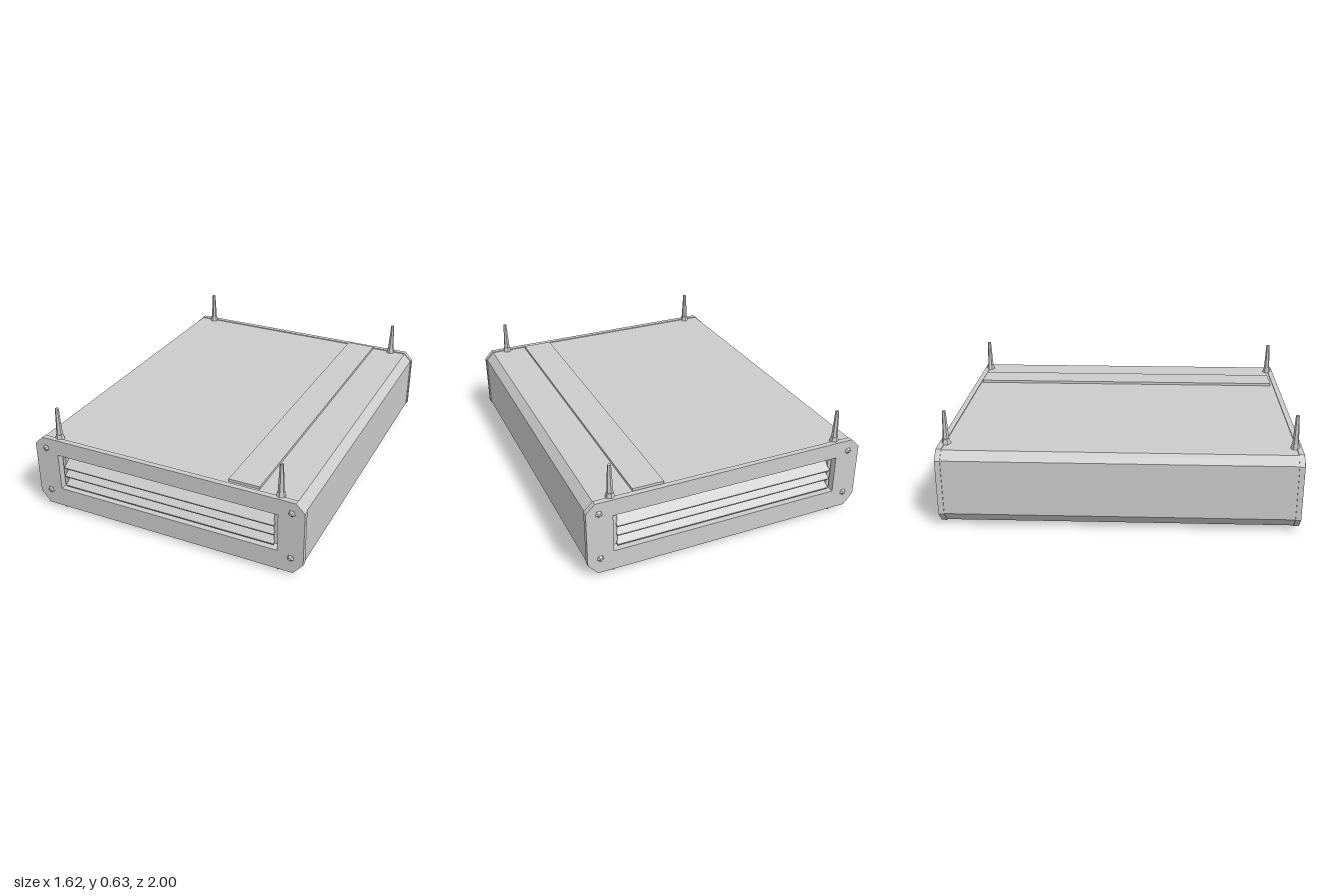
import * as THREE from 'three';

const material = new THREE.MeshStandardMaterial({ color: 0xcccccc, flatShading: true });

function add(parent, name, geometry, x = 0, y = 0, z = 0) {
  const mesh = new THREE.Mesh(geometry, material);
  mesh.name = name;
  mesh.position.set(x, y, z);
  parent.add(mesh);
  return mesh;
}

// Chamfered box outline seen from the front
function casingShape(inset = 0) {
  const w = 0.81 - inset, top = 0.45 - inset, bottom = 0.02 + inset;
  return new THREE.Shape([
    [-0.755, bottom], [0.755, bottom], [w, 0.085], [w, 0.4],
    [0.76, top], [-0.76, top], [-w, 0.4], [-w, 0.085],
  ].map(([x, y]) => new THREE.Vector2(x, y)));
}

function extrude(shape, depth) {
  return new THREE.ExtrudeGeometry(shape, { depth, bevelEnabled: false });
}

// Rectangular vent opening
function openingPath() {
  return new THREE.Path([
    [-0.665, 0.135], [-0.665, 0.355], [0.665, 0.355], [0.665, 0.135],
  ].map(([x, y]) => new THREE.Vector2(x, y)));
}

// End frame with slats and corner screws, facing +z
function createVentEnd() {
  const end = new THREE.Group();
  end.name = 'ventEnd';

  const frame = casingShape();
  frame.holes.push(openingPath());
  add(end, 'endFrame', extrude(frame, 0.03), 0, 0, 0.957);

  // Angled louvre slats with a sharp leading edge
  const slat = new THREE.Shape([
    [-0.035, -0.026], [-0.03, -0.036], [0.03, 0.022], [0.024, 0.034],
  ].map(([x, y]) => new THREE.Vector2(x, y)));
  for (const y of [0.185, 0.245, 0.3]) {
    const geometry = extrude(slat, 1.28);
    geometry.rotateY(Math.PI / 2);
    add(end, 'slat', geometry, -0.64, y, 0.94);
  }

  // Slat holders at both ends of the opening
  for (const side of [-1, 1]) {
    add(end, 'slatHolder', new THREE.BoxGeometry(0.02, 0.18, 0.05), side * 0.645, 0.243, 0.935);
    for (const y of [0.11, 0.385]) {
      const screw = new THREE.CylinderGeometry(0.008, 0.021, 0.014, 5);
      screw.rotateX(Math.PI / 2);
      add(end, 'screw', screw, side * 0.74, y, 0.993);
    }
  }
  return end;
}

export function createModel() {
  const model = new THREE.Group();
  model.name = 'ductUnit';

  // Main casing: hollow at the ends, closed in the middle
  const shell = casingShape(0.005);
  shell.holes.push(openingPath());
  add(model, 'casing', extrude(shell, 1.92), 0, 0, -0.96);
  add(model, 'innerPanel', new THREE.BoxGeometry(1.34, 0.23, 1.78), 0, 0.245, 0);

  // Vent at the front and the back
  const front = createVentEnd();
  const back = createVentEnd();
  back.rotation.y = Math.PI;
  model.add(front, back);

  // Raised access strip on top
  add(model, 'topStrip', new THREE.BoxGeometry(0.175, 0.02, 1.89), 0.457, 0.45, -0.005);

  // Hanging rods with nuts, and bolt heads underneath
  for (const x of [-0.665, 0.665]) {
    for (const z of [-0.95, 0.95]) {
      const mount = new THREE.Group();
      mount.name = 'mount';
      mount.position.set(x, 0, z);
      add(mount, 'rod', new THREE.CylinderGeometry(0.01, 0.019, 0.185, 6), 0, 0.5425, 0);
      add(mount, 'nut', new THREE.CylinderGeometry(0.02, 0.026, 0.03, 6), 0, 0.46, 0);
      add(mount, 'boltHead', new THREE.CylinderGeometry(0.025, 0.02, 0.025, 6), 0, 0.0125, 0);
      model.add(mount);
    }
  }
  return model;
}
